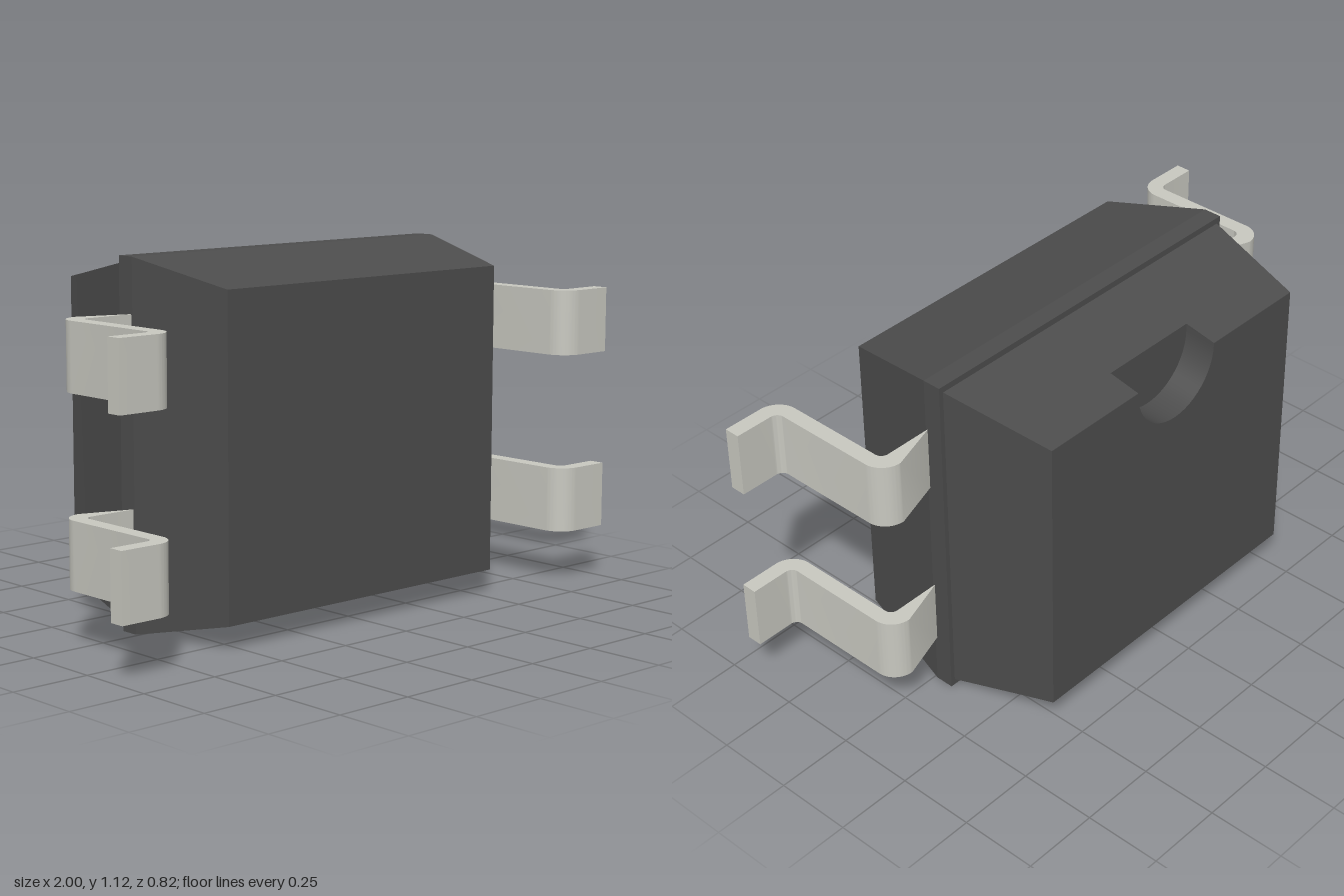
import * as THREE from 'three';
import { toCreasedNormals } from 'three/addons/utils/BufferGeometryUtils.js';

const MID_Y = 0.56, NOTCH_R = 0.17, NOTCH_Y = 1.025, NOTCH_STEPS = 24;

// Counter-clockwise rectangle whose top edge carries the notch arc, or runs flat across it.
function section(hw, hh, notched) {
  const top = MID_Y + hh, bottom = MID_Y - hh;
  const pts = [[-hw, bottom], [hw, bottom], [hw, top], [NOTCH_R, top]];
  for (let i = 0; i <= NOTCH_STEPS; i++) {
    const a = Math.PI * i / NOTCH_STEPS;
    pts.push([NOTCH_R * Math.cos(a), notched ? NOTCH_Y - NOTCH_R * Math.sin(a) : top]);
  }
  pts.push([-NOTCH_R, top], [-hw, top]);
  return pts.map(([x, y]) => new THREE.Vector2(x, y));
}

// Loft from back to front; the repeated z values form the notch floor and the parting step.
function bodyGeometry() {
  const layers = [
    [-0.415, 0.535, 0.47, true],
    [-0.31, 0.556, 0.491, true],
    [-0.31, 0.556, 0.491, false],
    [-0.07, 0.605, 0.54, false],
    [-0.07, 0.62, 0.56, false],
    [-0.01, 0.62, 0.56, false],
    [0.33, 0.55, 0.485, false],
  ];
  const loops = layers.map(([, hw, hh, notched]) => section(hw, hh, notched));
  const n = loops[0].length, pos = [], idx = [];
  loops.forEach((loop, s) => loop.forEach((p) => pos.push(p.x, p.y, layers[s][0])));
  for (let s = 0; s < loops.length - 1; s++) {
    for (let i = 0; i < n; i++) {
      const a = s * n + i, b = s * n + (i + 1) % n;
      idx.push(a, b, b + n, a, b + n, a + n);
    }
  }
  // Back cap with the notch, then the plain front cap
  for (const [a, b, c] of THREE.ShapeUtils.triangulateShape(loops[0], [])) idx.push(a, c, b);
  const f = (loops.length - 1) * n;
  for (let i = 1; i < n - 1; i++) idx.push(f, f + i, f + i + 1);
  const geo = new THREE.BufferGeometry();
  geo.setAttribute('position', new THREE.Float32BufferAttribute(pos, 3));
  geo.setIndex(idx);
  return toCreasedNormals(geo, 0.18);
}

// Gull-wing strip: outline in x and -z, extruded along y.
function leadGeometry(width) {
  const s = new THREE.Shape();
  const q = Math.PI / 2;
  s.moveTo(0.615, 0.07);
  s.absarc(0.78, 0, 0.07, q, 0, true);
  s.absarc(0.875, -0.335, 0.025, 2 * q, 3 * q, false);
  s.lineTo(1, -0.36);
  s.lineTo(1, -0.41);
  s.absarc(0.87, -0.34, 0.07, 3 * q, 2 * q, true);
  s.absarc(0.775, -0.01, 0.025, 0, q, false);
  s.lineTo(0.615, 0.015);
  s.closePath();
  const geo = new THREE.ExtrudeGeometry(s, { depth: width, bevelEnabled: false, curveSegments: 10 });
  geo.rotateX(-q);
  return toCreasedNormals(geo, 0.5);
}

export function createModel() {
  const model = new THREE.Group();
  model.name = 'fourLeadChipPackage';

  const plastic = new THREE.MeshStandardMaterial({ color: 0x4d4d4d });
  const metal = new THREE.MeshStandardMaterial({ color: 0xc8c8c0 });

  const body = new THREE.Mesh(bodyGeometry(), plastic);
  body.name = 'body';
  model.add(body);

  // Two leads on each side
  const width = 0.208;
  const geo = leadGeometry(width);
  for (const [level, y] of [['lower', 0.169], ['upper', 0.745]]) {
    const left = new THREE.Mesh(geo, metal);
    left.name = level + 'LeftLead';
    left.position.y = y;
    const right = new THREE.Mesh(geo, metal);
    right.name = level + 'RightLead';
    right.rotation.z = Math.PI; // half turn swaps the side, the strip is symmetric in y
    right.position.y = y + width;
    model.add(left, right);
  }
  return model;
}
